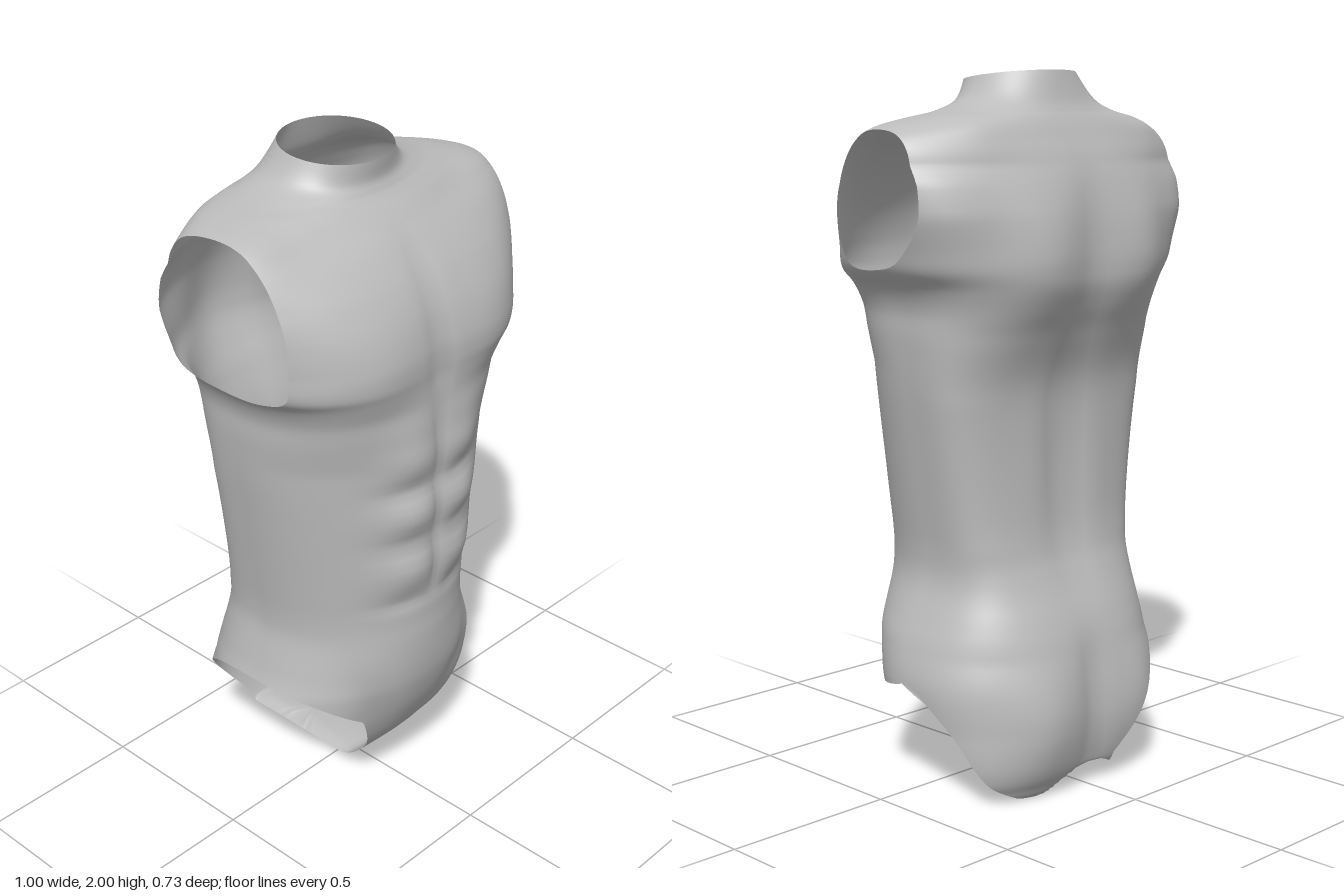
import * as THREE from 'three';
import { mergeVertices } from 'three/addons/utils/BufferGeometryUtils.js';

// Cross-sections from crotch to neck: [y, half width, front z, back z]
const SECTIONS = [
  [0, 0, -0.15, -0.15], [0, 0.28, -0.03, -0.28], [0.04, 0.355, 0.05, -0.315],
  [0.1, 0.385, 0.13, -0.338], [0.2, 0.405, 0.22, -0.35], [0.32, 0.418, 0.285, -0.345],
  [0.42, 0.398, 0.32, -0.33], [0.5, 0.37, 0.335, -0.305], [0.6, 0.34, 0.34, -0.262],
  [0.68, 0.337, 0.338, -0.235], [0.8, 0.352, 0.342, -0.22], [1, 0.382, 0.347, -0.215],
  [1.15, 0.405, 0.347, -0.225], [1.28, 0.42, 0.347, -0.27], [1.36, 0.426, 0.347, -0.305],
  [1.42, 0.452, 0.345, -0.325], [1.47, 0.5, 0.345, -0.33], [1.53, 0.525, 0.34, -0.33],
  [1.62, 0.562, 0.32, -0.325], [1.7, 0.58, 0.285, -0.31], [1.77, 0.575, 0.235, -0.285],
  [1.82, 0.54, 0.19, -0.26], [1.85, 0.48, 0.16, -0.245], [1.873, 0.39, 0.135, -0.232],
  [1.892, 0.29, 0.12, -0.22], [1.925, 0.212, 0.11, -0.205], [2, 0.163, 0.114, -0.184],
];
// Squareness of the front and back halves by height: 2 is an ellipse
const FRONT_POWER = [[0, 3], [0.1, 2.9], [0.2, 2.5], [0.35, 2.1], [0.6, 2], [1.2, 2.05], [1.36, 2.4],
  [1.45, 2.7], [1.53, 2.5], [1.7, 2.3], [1.82, 2]];
const BACK_POWER = [[0, 3], [0.1, 2.9], [0.2, 2.6], [0.4, 2.5], [0.55, 3], [0.7, 3.8], [1.1, 3.8],
  [1.3, 2.9], [1.45, 2.6], [1.62, 2.4], [1.75, 2], [1.85, 2.4], [1.92, 2.5], [2, 2]];
const STEPS = 6, COLUMNS = 128;

const bell = (v, centre, size) => Math.exp(-(((v - centre) / size) ** 2));
const smooth = THREE.MathUtils.smoothstep;

// Piecewise linear curve through [input, output] pairs
function curve(points, v) {
  if (v <= points[0][0]) return points[0][1];
  for (let i = 1; i < points.length; i++) {
    const [x0, y0] = points[i - 1], [x1, y1] = points[i];
    if (v <= x1) return y0 + ((y1 - y0) * (v - x0)) / (x1 - x0);
  }
  return points[points.length - 1][1];
}

// Smooth interpolation between neighbouring cross-sections
function section(row) {
  const i = Math.min(Math.floor(row / STEPS), SECTIONS.length - 2);
  const t = row / STEPS - i;
  const at = (k) => SECTIONS[THREE.MathUtils.clamp(k, 0, SECTIONS.length - 1)];
  const [a, b, c, d] = [at(i - 1), at(i), at(i + 1), at(i + 2)];
  return b.map((p, k) => p + 0.5 * t * (c[k] - a[k] + t * (2 * a[k] - 5 * p + 4 * c[k] - d[k]
    + t * (3 * (p - c[k]) + d[k] - a[k]))));
}

// Chest, abdomen and groin relief, positive towards the front
function frontRelief(x, y) {
  const ax = Math.abs(x);
  let d = 0.026 * bell(ax, 0.22, 0.17) * bell(y, 1.52, 0.15);          // chest muscles
  d -= 0.012 * bell(x, 0, 0.03) * smooth(y, 1.3, 1.45) * (1 - smooth(y, 1.7, 1.85));
  d -= 0.004 * bell(ax, 0.2, 0.13) * bell(y, 1.36, 0.04);              // crease below chest
  for (const [cy, amount] of [[1.29, 0.01], [1.2, 0.024], [1.03, 0.027], [0.85, 0.024]]) {
    d += amount * bell(ax, 0.1, 0.09) * bell(y, cy, 0.06);             // abdominal muscles
  }
  for (const cy of [1.11, 0.94, 0.74]) d -= 0.01 * bell(ax, 0.1, 0.09) * bell(y, cy, 0.022);
  d -= 0.009 * bell(x, 0, 0.022) * smooth(y, 0.7, 0.8) * (1 - smooth(y, 1.3, 1.4));
  d -= 0.012 * bell(ax, 0.1 + 0.35 * (y - 0.15), 0.06) * bell(y, 0.35, 0.16); // groin lines
  d -= 0.01 * bell(ax, 0.25, 0.12) * bell(y, 1.83, 0.04);              // below collar bones
  return d;
}

// Shoulder blades, spine and buttocks, positive towards the back
function backRelief(x, y) {
  const ax = Math.abs(x);
  let d = 0.031 * bell(ax, 0.19, 0.12) * bell(y, 1.5, 0.17);
  d += 0.006 * bell(ax, 0.12, 0.08) * bell(y, 0.9, 0.25);
  d -= (0.01 + 0.012 * bell(y, 0.95, 0.25)) * bell(x, 0, 0.06)
    * smooth(y, 0.45, 0.75) * (1 - smooth(y, 1.6, 1.85));
  d += 0.03 * bell(ax, 0.19, 0.12) * bell(y, 0.23, 0.16);
  d -= 0.014 * bell(x, 0, 0.045) * (1 - smooth(y, 0.33, 0.52)) * smooth(y, 0, 0.1);
  return d;
}

const SHOULDER_SHIFT = [[1.45, 0], [1.6, -0.015], [1.7, -0.01], [1.85, 0.03]];

function skinPoint(row, column) {
  let [y, w, front, back] = section(row);
  const a = ((column % COLUMNS) / COLUMNS) * Math.PI * 2;
  const c = Math.cos(a), s = Math.sin(a);
  const n = curve(s > 0 ? FRONT_POWER : BACK_POWER, y);
  const power = (v) => Math.sign(v) * Math.abs(v) ** (2 / n);
  const widest = Math.min((front + back) / 2, 0);
  let x = w * power(c);
  let z = widest + (s > 0 ? front - widest : widest - back) * power(s);
  z += s > 0 ? smooth(s, 0, 0.6) * frontRelief(x, y) : -smooth(-s, 0, 0.6) * backRelief(x, y);
  z += smooth(Math.abs(x), 0.3, 0.5) * curve(SHOULDER_SHIFT, y);
  x -= 0.01 * smooth(y, 0.45, 0.6);                                     // slight lean to one side
  y -= 0.015 * (1 + s) * smooth(y, 1.89, 2);                            // neck rim dips forward
  y = Math.max(y, 0.068 - 0.6 * Math.max(0, Math.abs(x) - 0.06));       // strip between the legs
  return new THREE.Vector3(x, y, z);
}

// Openings: skin is kept where each value is positive
const armOpening = (p) => (p.x > 0 ? 0.492 - 0.065 * p.z - p.x : 0.475 - 0.1 * p.z + p.x);

const LEFT_INNER = [[0.09, -0.1], [0.1, 0.07], [0.17, 0.16], [0.27, 0.27], [0.42, 0.4]];
const LEFT_OUTER = [[-0.31, -0.1], [-0.28, 0.02], [-0.24, 0.1], [-0.2, 0.17], [-0.15, 0.23],
  [-0.1, 0.275], [-0.05, 0.31], [0.01, 0.325], [0.1, 0.305], [0.15, 0.28], [0.22, 0.22]];
const RIGHT_FRONT = [[0.08, -0.1], [0.09, 0.06], [0.14, 0.2], [0.2, 0.33], [0.39, 0.46]];
const RIGHT_BACK = [[0.08, -0.1], [0.09, 0.08], [0.39, 0.46]];
function legOpening(p) {
  if (p.x > 0) return p.y - Math.min(curve(LEFT_INNER, p.x), curve(LEFT_OUTER, p.z));
  const blend = smooth(p.z, -0.15, 0.2);
  return p.y - THREE.MathUtils.lerp(curve(RIGHT_BACK, -p.x), curve(RIGHT_FRONT, -p.x), blend);
}

// Point where the line from an inside to an outside point meets the opening
function crossing(inside, outside, keep) {
  const a = inside.clone(), b = outside.clone();
  for (let i = 0; i < 16; i++) {
    const middle = a.clone().lerp(b, 0.5);
    (keep(middle) >= 0 ? a : b).copy(middle);
  }
  return a;
}

// Trim a polygon along the edge of an opening
function trim(polygon, keep) {
  const out = [];
  polygon.forEach((p, i) => {
    const q = polygon[(i + 1) % polygon.length];
    const pIn = keep(p) >= 0, qIn = keep(q) >= 0;
    if (pIn) out.push(p);
    if (pIn !== qIn) out.push(pIn ? crossing(p, q, keep) : crossing(q, p, keep));
  });
  return out;
}

function torsoGeometry() {
  const rows = (SECTIONS.length - 1) * STEPS;
  const grid = [];
  for (let i = 0; i <= rows; i++) {
    grid.push(Array.from({ length: COLUMNS + 1 }, (_, j) => skinPoint(i, j)));
  }
  const positions = [];
  for (let i = 0; i < rows; i++) {
    for (let j = 0; j < COLUMNS; j++) {
      const a = grid[i][j], b = grid[i][j + 1], c = grid[i + 1][j + 1], d = grid[i + 1][j];
      for (const triangle of [[a, d, c], [a, c, b]]) {
        const p = trim(trim(triangle, armOpening), legOpening);
        for (let k = 2; k < p.length; k++) {
          for (const v of [p[0], p[k - 1], p[k]]) positions.push(v.x, v.y, v.z);
        }
      }
    }
  }
  const geometry = new THREE.BufferGeometry();
  geometry.setAttribute('position', new THREE.Float32BufferAttribute(positions, 3));
  const merged = mergeVertices(geometry, 1e-5);
  merged.computeVertexNormals();
  return merged;
}

export function createModel() {
  const grey = new THREE.MeshStandardMaterial({ color: 0xbcbcbc, side: THREE.DoubleSide });
  grey.name = 'plain grey';
  const torso = new THREE.Mesh(torsoGeometry(), grey);
  torso.name = 'torsoShell';
  const group = new THREE.Group();
  group.name = 'torso';
  group.add(torso);
  return group;
}
